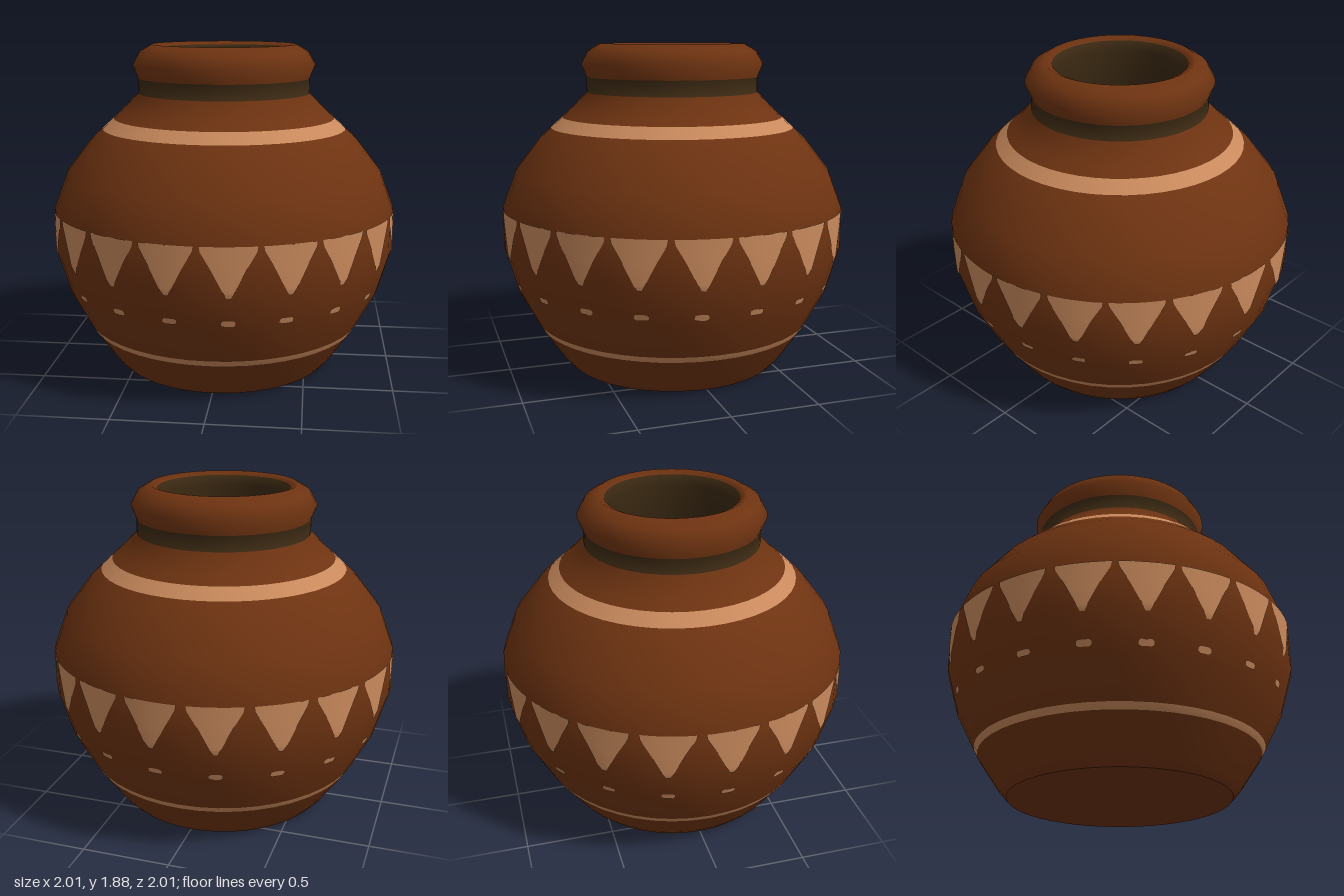
import * as THREE from 'three';
import { mergeGeometries } from 'three/addons/utils/BufferGeometryUtils.js';

const SIDES = 48;
const CLAY = 0, TAN = 1, DARK = 2;

// Wall profile: radius, height, colour of the stretch up to the next point
const OUTER = [
  [0.63, 0, CLAY], [0.68, 0.055, CLAY], [0.803, 0.235, TAN], [0.823, 0.27, CLAY],
  [0.93, 0.475, CLAY], [1, 0.715, CLAY], [1, 0.95, CLAY], [0.92, 1.16, CLAY],
  [0.78, 1.34, CLAY], [0.71, 1.405, TAN], [0.645, 1.465, CLAY], [0.6, 1.505, CLAY],
  [0.5, 1.607, DARK], [0.5, 1.695, CLAY], [0.53, 1.77, CLAY], [0.488, 1.845, CLAY],
  [0.418, 1.885, CLAY],
];
const INNER = [
  [0.375, 1.865, DARK], [0.355, 1.81, DARK], [0.355, 1.53, TAN], [0.42, 1.47, CLAY],
  [0.73, 1.3, CLAY], [0.94, 0.94, CLAY], [0.94, 0.72, CLAY], [0.62, 0.06, CLAY], [0, 0.05, CLAY],
];

// Outer wall radius at a given height
function radiusAt(y) {
  const i = Math.max(1, OUTER.findIndex((p) => p[1] >= y));
  const [r0, y0] = OUTER[i - 1], [r1, y1] = OUTER[i];
  return r0 + (r1 - r0) * (y - y0) / (y1 - y0);
}

// Lathe whose horizontal stretches are sorted into one group per colour
function wallGeometry() {
  const profile = [...OUTER, ...INNER];
  const n = profile.length;
  const geo = new THREE.LatheGeometry(profile.map(([r, y]) => new THREE.Vector2(r, y)), SIDES);
  const lists = [[], [], []];
  for (let i = 0; i < SIDES; i++) {
    for (let j = 0; j < n - 1; j++) {
      const a = i * n + j, b = a + n;
      lists[profile[j][2]].push(a, b, a + 1, b + 1, a + 1, b);
    }
  }
  geo.setIndex(lists.flat());
  let start = 0;
  lists.forEach((list, m) => {
    geo.addGroup(start, list.length, m);
    start += list.length;
  });
  return geo;
}

// Painted patch hugging the wall; rows run downward as [height, half angle]
function patch(angle, rows) {
  const cols = 6, pos = [], idx = [];
  rows.forEach(([y, half], j) => {
    const r = radiusAt(y) + 0.004;
    for (let k = 0; k <= cols; k++) {
      const t = angle + half * (2 * k / cols - 1);
      pos.push(r * Math.sin(t), y, r * Math.cos(t));
      if (j && k) {
        const d = j * (cols + 1) + k, c = d - 1, b = d - cols - 1, a = b - 1;
        idx.push(a, c, b, b, c, d);
      }
    }
  });
  const geo = new THREE.BufferGeometry();
  geo.setAttribute('position', new THREE.Float32BufferAttribute(pos, 3));
  geo.setIndex(idx);
  geo.computeVertexNormals();
  return geo;
}

export function createModel() {
  const material = (name, color) => {
    const m = new THREE.MeshStandardMaterial({ color });
    m.name = name;
    return m;
  };
  const clay = material('clay', 0x6e3311);
  const tan = material('tanPaint', 0xc8895c);
  const dark = material('darkGlaze', 0x3a2812);

  const group = new THREE.Group();
  group.name = 'pot';
  const add = (name, geo, mat) => {
    const mesh = new THREE.Mesh(geo, mat);
    mesh.name = name;
    group.add(mesh);
    return mesh;
  };

  // Wall, neck, rim and hollow inside
  add('wall', wallGeometry(), [clay, tan, dark]);

  // Flat underside
  add('base', new THREE.CircleGeometry(0.63, SIDES).rotateX(Math.PI / 2), clay);

  // Nineteen hand-spaced teeth, a little wider apart at the back
  const angles = Array.from({ length: 19 }, (_, i) =>
    THREE.MathUtils.degToRad(i < 13 ? -67 + 18.54 * i : 155.5 + 19.64 * (i - 12)));
  const tooth = [[0.949, 0.147], [0.92, 0.142], [0.83, 0.089], [0.715, 0.03], [0.68, 0.012]];
  add('toothBand', mergeGeometries(angles.map((a) => patch(a, tooth))), tan);

  // One small dash under each tooth
  const dash = [[0.545, 0.028], [0.537, 0.041], [0.519, 0.041], [0.511, 0.028]];
  add('dashes', mergeGeometries(angles.map((a) => patch(a, dash))), tan);

  return group;
}
